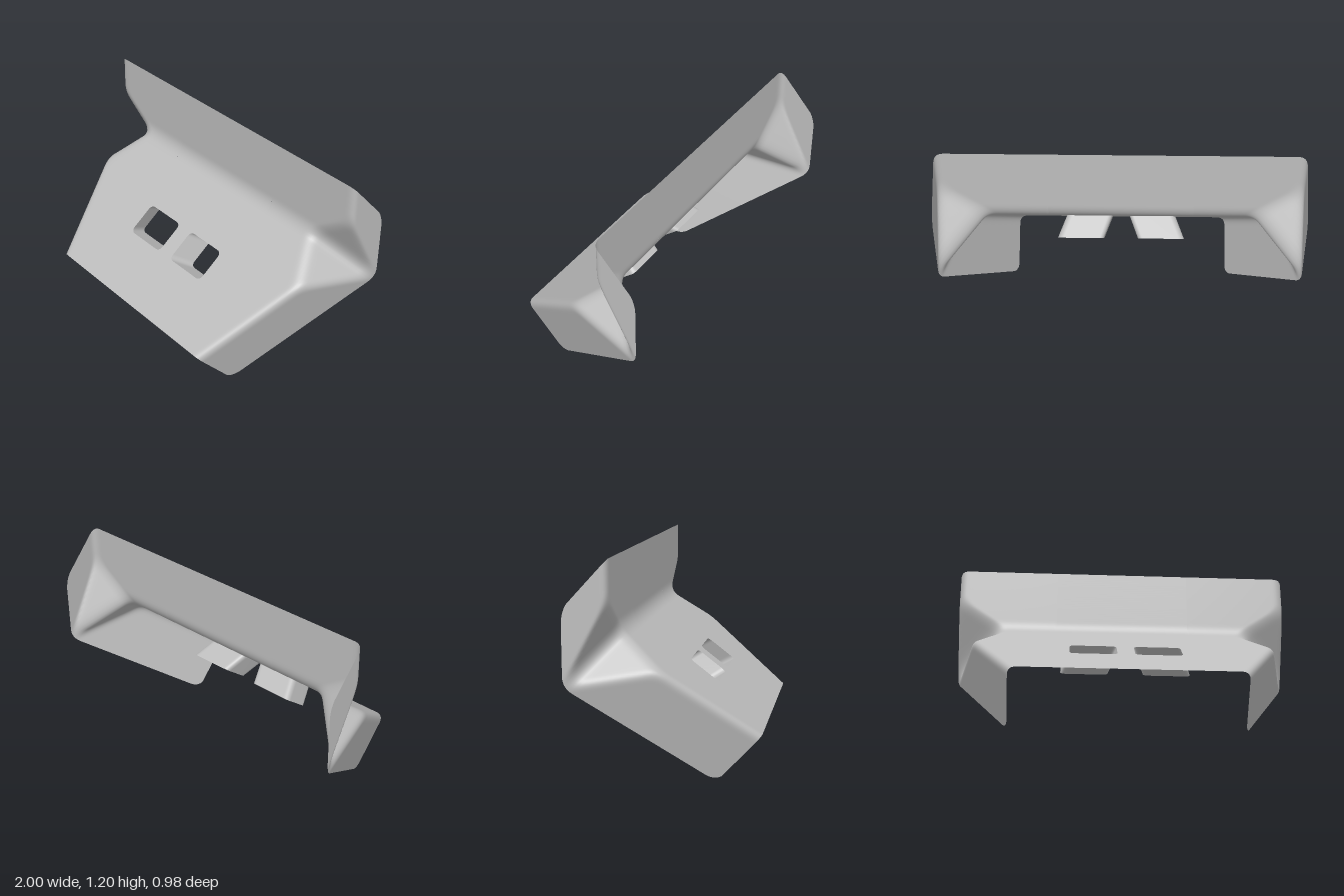
import * as THREE from 'three';

// Folded profile (y, z): sloping plate, then upright wall. Flanges fold back along "back".
const FRONT = [0.25, 0.49], BEND = [0.815, -0.25], TOP = 1.215;
const PLATE = Math.hypot(BEND[0] - FRONT[0], BEND[1] - FRONT[1]);
const TOTAL = PLATE + TOP - BEND[0];
const UP = [(BEND[0] - FRONT[0]) / PLATE, (BEND[1] - FRONT[1]) / PLATE];
const DEPTH = 0.354, BACK = [-0.26 / DEPTH, -0.24 / DEPTH];
const MID = 0.4;                        // half width of the centre strip
const CUT_LOW = 0.62, CUT_HIGH = PLATE + 0.19;   // extent of the cut corner along the profile
const SLOT_FROM = 0.2, SLOT_TO = 0.7;   // slotted part of the plate

// Average of a piecewise linear function over a window, which rounds its corners
function soft(f, t, h, n = 16) {
  let sum = 0;
  for (let i = 0; i < n; i++) sum += f(t + h * ((2 * i + 1) / n - 1));
  return sum / n;
}

const profileY = s => s < PLATE ? FRONT[0] + UP[0] * s : BEND[0] + s - PLATE;
const profileZ = s => s < PLATE ? FRONT[1] + UP[1] * s : BEND[1];
const outerX = s => Math.min(1, 0.65 + 0.35 * s / PLATE);
const cut = s => Math.max(0, s < PLATE ? (s - CUT_LOW) / (PLATE - CUT_LOW) : (CUT_HIGH - s) / (CUT_HIGH - PLATE));

// Flange depth, with rounded free corners at both ends
function flangeDepth(s) {
  const e = Math.min(s, TOTAL - s), r = 0.07;
  return e >= r ? DEPTH : DEPTH - 0.05 * (1 - Math.sqrt(Math.max(0, 1 - (1 - e / r) ** 2)));
}

function place(s, x, w) {
  return [x, soft(profileY, s, 0.06) + BACK[0] * w, soft(profileZ, s, 0.06) + BACK[1] * w];
}

// Cross-section from the centre strip out over the cut corner and down the flange
function sidePoint(s, t) {
  const xo = soft(outerX, s, 0.05), c = soft(cut, s, 0.05);
  const pts = [[MID, 0], [xo - 0.28 * c, 0], [xo, DEPTH * c], [xo, Math.max(flangeDepth(s), DEPTH * c)]];
  const len = pts.slice(1).map((p, i) => Math.hypot(p[0] - pts[i][0], p[1] - pts[i][1]));
  const along = k => d => {
    let i = 0;
    while (i < 2 && d > len[i]) d -= len[i++];
    if (len[i] < 1e-6) return i === 2 && k === 1 ? pts[3][1] + d : pts[i + 1][k];
    return pts[i][k] + (pts[i + 1][k] - pts[i][k]) * d / len[i];
  };
  const d = t * (len[0] + len[1] + len[2]);
  return place(s, soft(along(0), d, 0.05), soft(along(1), d, 0.05));
}

// Grid of points point(i, j), optionally turned over
function grid(rows, cols, point, flip = false) {
  const pos = [], idx = [];
  for (let i = 0; i <= rows; i++) for (let j = 0; j <= cols; j++) {
    pos.push(...point(i, j));
    if (i === rows || j === cols) continue;
    const a = i * (cols + 1) + j, b = a + 1, c = a + cols + 1, d = c + 1;
    if (flip) idx.push(a, d, b, a, c, d);
    else idx.push(a, b, d, a, d, c);
  }
  const g = new THREE.BufferGeometry();
  g.setAttribute('position', new THREE.Float32BufferAttribute(pos, 3));
  g.setIndex(idx);
  g.computeVertexNormals();
  return g;
}

function roundedRect(target, x0, x1, y0, y1, r) {
  target.moveTo(x0 + r, y0);
  target.lineTo(x1 - r, y0);
  target.quadraticCurveTo(x1, y0, x1, y0 + r);
  target.lineTo(x1, y1 - r);
  target.quadraticCurveTo(x1, y1, x1 - r, y1);
  target.lineTo(x0 + r, y1);
  target.quadraticCurveTo(x0, y1, x0, y1 - r);
  target.lineTo(x0, y0 + r);
  target.quadraticCurveTo(x0, y0, x0 + r, y0);
  return target;
}

export function createModel() {
  const group = new THREE.Group();
  const grey = new THREE.MeshStandardMaterial({ color: 0xbdbdbd, side: THREE.DoubleSide });
  grey.name = 'plain grey';
  const add = (name, geometry) => {
    const mesh = new THREE.Mesh(geometry, grey);
    mesh.name = name;
    group.add(mesh);
  };

  // Outer halves with cut corners and flanges
  const ROWS = 110, COLS = 56;
  const rowS = i => TOTAL * (1 - Math.cos(Math.PI * i / ROWS)) / 2;
  for (const side of [1, -1]) {
    add(side > 0 ? 'leftFlange' : 'rightFlange', grid(ROWS, COLS, (i, j) => {
      const p = sidePoint(rowS(i), j / COLS);
      return [p[0] * side, p[1], p[2]];
    }, side < 0));
  }

  // Centre strip below and above the slots
  const strip = (from, to, rows) => grid(rows, 1, (i, j) => place(from + (to - from) * i / rows, j ? MID : -MID, 0));
  add('frontStrip', strip(0, SLOT_FROM, 2));
  add('backWall', strip(SLOT_TO, TOTAL, 50));

  // Slotted panel and the slanted sleeves behind its slots
  const panel = new THREE.Shape([
    new THREE.Vector2(-MID, SLOT_FROM), new THREE.Vector2(MID, SLOT_FROM),
    new THREE.Vector2(MID, SLOT_TO), new THREE.Vector2(-MID, SLOT_TO),
  ]);
  for (const side of [1, -1]) {
    const x0 = side > 0 ? 0.05 : -0.32;
    const slot = roundedRect(new THREE.Path(), x0, x0 + 0.27, 0.35, 0.55, 0.035);
    panel.holes.push(slot);
    const ring = slot.getPoints(6);
    add(side > 0 ? 'leftSleeve' : 'rightSleeve', grid(1, ring.length - 1, (i, j) => {
      const p = place(ring[j].y, ring[j].x, 0);
      return [p[0] + i * 0.05 * side, p[1] - i * 0.075, p[2] - i * 0.12];
    }));
  }
  const plate = new THREE.ShapeGeometry(panel, 6);
  plate.applyMatrix4(new THREE.Matrix4().makeBasis(
    new THREE.Vector3(1, 0, 0), new THREE.Vector3(0, ...UP), new THREE.Vector3(0, -UP[1], UP[0]),
  ).setPosition(0, ...FRONT));
  add('slottedPlate', plate);

  return group;
}
